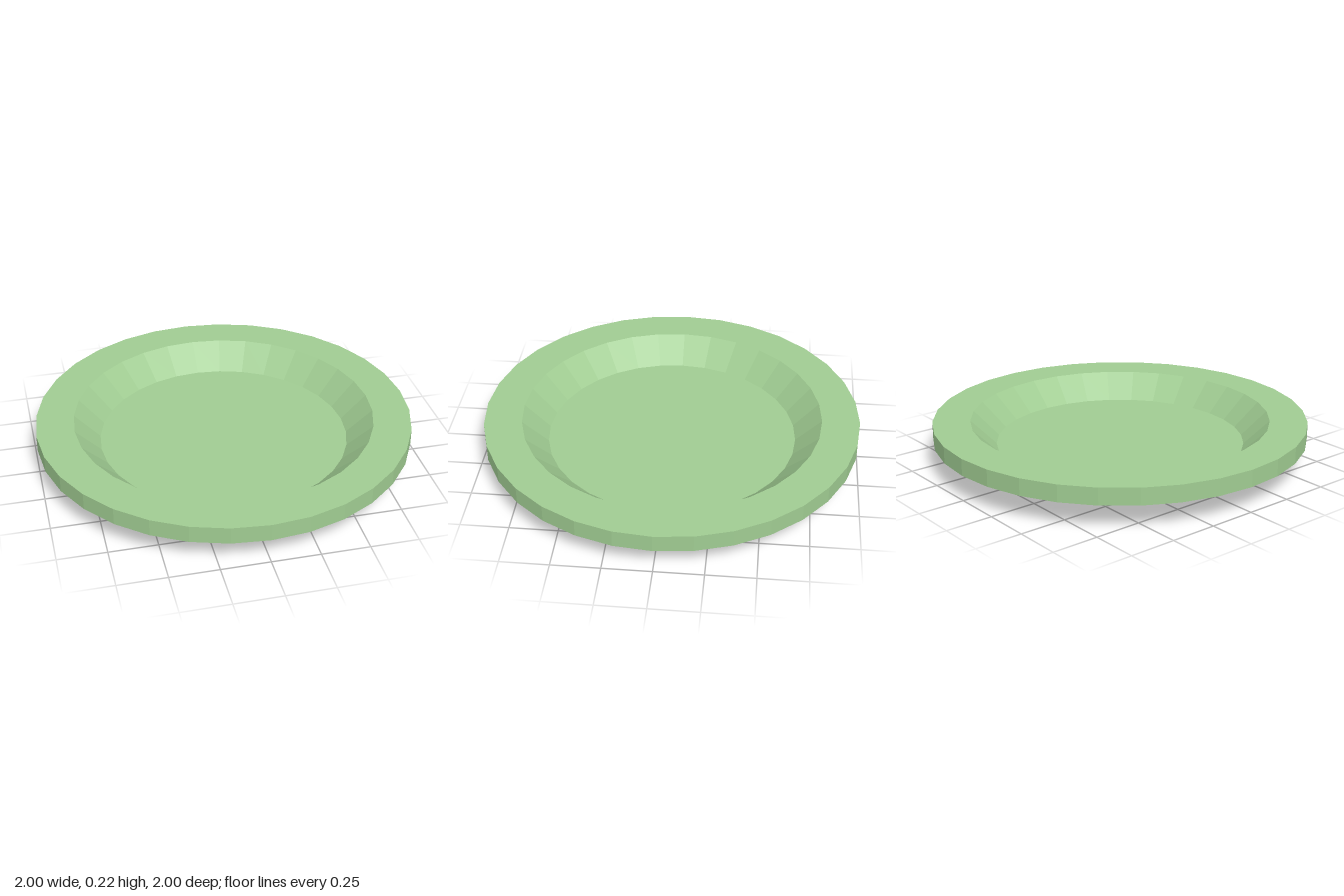
import * as THREE from 'three';

export function createModel() {
  const group = new THREE.Group();
  group.name = 'plate';
  const material = new THREE.MeshStandardMaterial({ color: 0xa0cc92, flatShading: true });

  // Cross-section of the plate wall: underside outwards, round the rim, back in to the floor
  const profile = [
    [0, 0], [0.665, 0], [0.8, 0.132], [1, 0.132],
    [1, 0.222], [0.8, 0.222], [0.665, 0.09], [0, 0.09],
  ].map(([r, y]) => new THREE.Vector2(r, y));

  // 32-sided dish with a flat rim
  const dish = new THREE.Mesh(new THREE.LatheGeometry(profile, 32), material);
  dish.name = 'dish';
  group.add(dish);
  return group;
}
